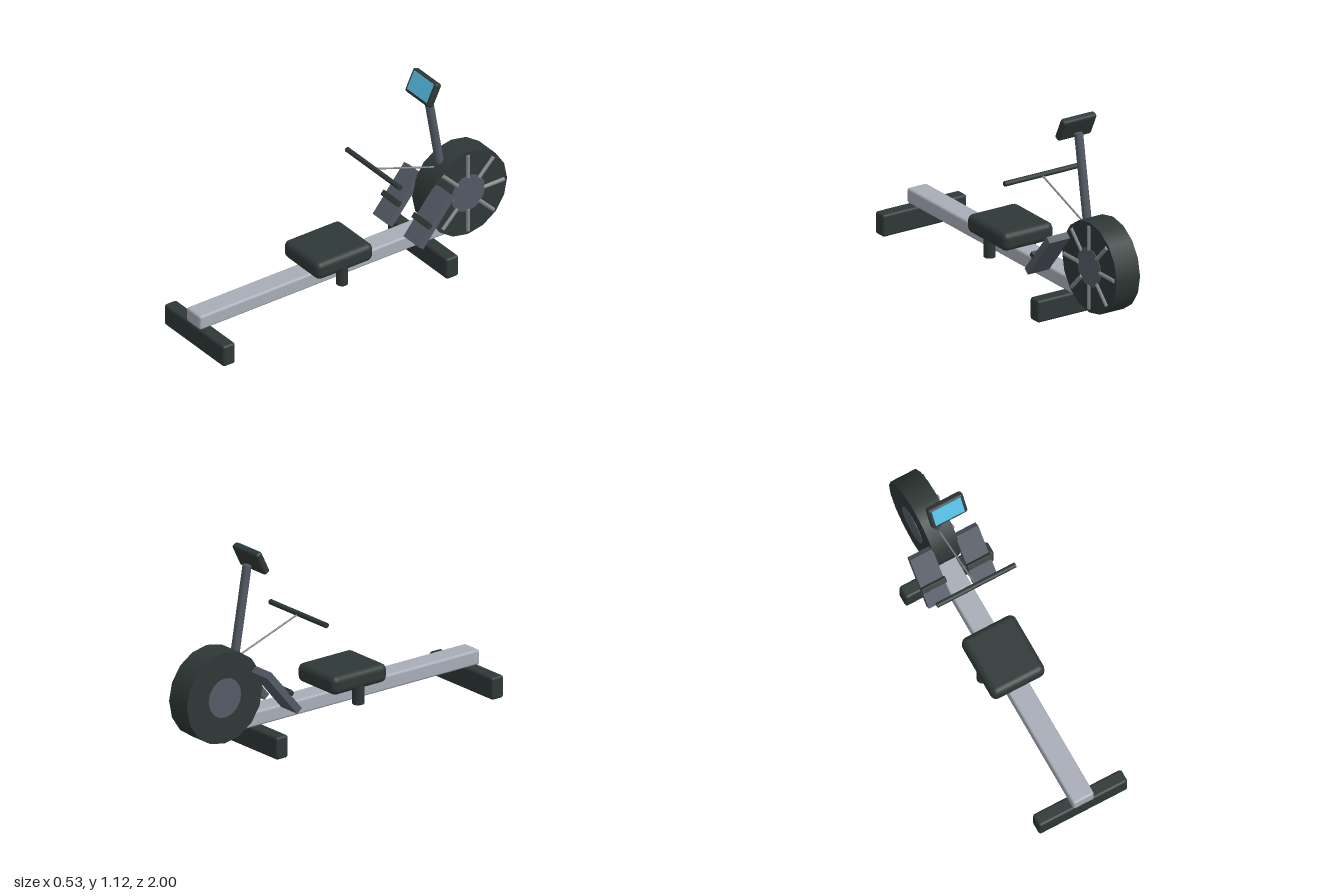
import * as THREE from 'three';
import { RoundedBoxGeometry } from 'three/addons/geometries/RoundedBoxGeometry.js';

const material = (name, color) => {
  const m = new THREE.MeshStandardMaterial({ color });
  m.name = name;
  return m;
};

export function createModel() {
  const group = new THREE.Group();
  const dark = material('darkRubber', 0x2e3836);
  const slate = material('slateMetal', 0x535a65);
  const silver = material('silverRail', 0xa8adb8);
  const grey = material('greySteel', 0x85878c);
  const blue = material('screenBlue', 0x56bce2);

  const add = (parent, name, geometry, mat, x = 0, y = 0, z = 0) => {
    const mesh = new THREE.Mesh(geometry, mat);
    mesh.name = name;
    mesh.position.set(x, y, z);
    parent.add(mesh);
    return mesh;
  };
  const rounded = (w, h, d, r) => new RoundedBoxGeometry(w, h, d, 3, r);

  // Cylinder running between two points
  const rod = (parent, name, a, b, r, sides, mat) => {
    const from = new THREE.Vector3(...a), dir = new THREE.Vector3(...b).sub(from);
    const mesh = add(parent, name, new THREE.CylinderGeometry(r, r, dir.length(), sides), mat);
    mesh.position.copy(from).addScaledVector(dir, 0.5);
    mesh.quaternion.setFromUnitVectors(new THREE.Vector3(0, 1, 0), dir.normalize());
    return mesh;
  };

  // Rail and its two floor bars
  add(group, 'rail', rounded(0.126, 0.085, 1.63, 0.014), silver, 0, 0.173, 0.185);
  add(group, 'frontFoot', rounded(0.534, 0.127, 0.08, 0.015), dark, 0, 0.0665, 0.957);
  add(group, 'rearFoot', rounded(0.534, 0.127, 0.08, 0.015), dark, 0, 0.0665, -0.504);

  // Sliding seat on two posts
  add(group, 'seat', rounded(0.32, 0.105, 0.37, 0.035), dark, 0, 0.272, 0.115);
  for (const s of [-1, 1]) {
    rod(group, 'seatPost', [s * 0.128, 0.133, 0.12], [s * 0.128, 0.25, 0.12], 0.032, 16, dark);
  }

  // Flywheel with hub on both faces and spokes on one
  const flywheel = new THREE.Group();
  flywheel.name = 'flywheel';
  flywheel.position.set(0, 0.347, -0.743);
  group.add(flywheel);
  rod(flywheel, 'housing', [-0.075, 0, 0], [0.075, 0, 0], 0.256, 16, dark);
  rod(flywheel, 'hub', [-0.078, 0, 0], [0.078, 0, 0], 0.11, 16, slate);
  for (let i = 0; i < 8; i++) {
    const a = i * Math.PI / 4, c = Math.cos(a), s = Math.sin(a);
    rod(flywheel, 'spoke', [0.075, c * 0.1, s * 0.1], [0.075, c * 0.235, s * 0.235], 0.012, 8, grey);
  }

  // Sloping footrests with straps
  for (const s of [-1, 1]) {
    const footrest = new THREE.Group();
    footrest.name = s > 0 ? 'leftFootrest' : 'rightFootrest';
    footrest.position.set(s * 0.1375, 0.3415, -0.443);
    footrest.rotation.x = -40 * Math.PI / 180;
    group.add(footrest);
    add(footrest, 'plate', new THREE.BoxGeometry(0.135, 0.322, 0.04), slate);
    add(footrest, 'strap', rounded(0.147, 0.032, 0.024, 0.004), dark, 0, -0.036, 0.03);
  }

  // Display arm
  rod(group, 'displayArm', [0, 0.48, -0.624], [0, 1.025, -0.53], 0.0245, 8, slate);

  // Tilted display with a thin screen
  const display = new THREE.Group();
  display.name = 'display';
  display.position.set(0, 1.055, -0.505);
  display.rotation.x = -26 * Math.PI / 180;
  group.add(display);
  add(display, 'displayCase', rounded(0.214, 0.14, 0.042, 0.015), dark);
  add(display, 'screen', new THREE.BoxGeometry(0.174, 0.108, 0.006), blue, 0, 0.004, 0.021);

  // Pull handle and its cable
  rod(group, 'handle', [-0.237, 0.67, -0.181], [0.237, 0.67, -0.181], 0.0145, 12, dark);
  rod(group, 'cable', [0, 0.67, -0.181], [0, 0.533, -0.575], 0.005, 8, grey);

  return group;
}
